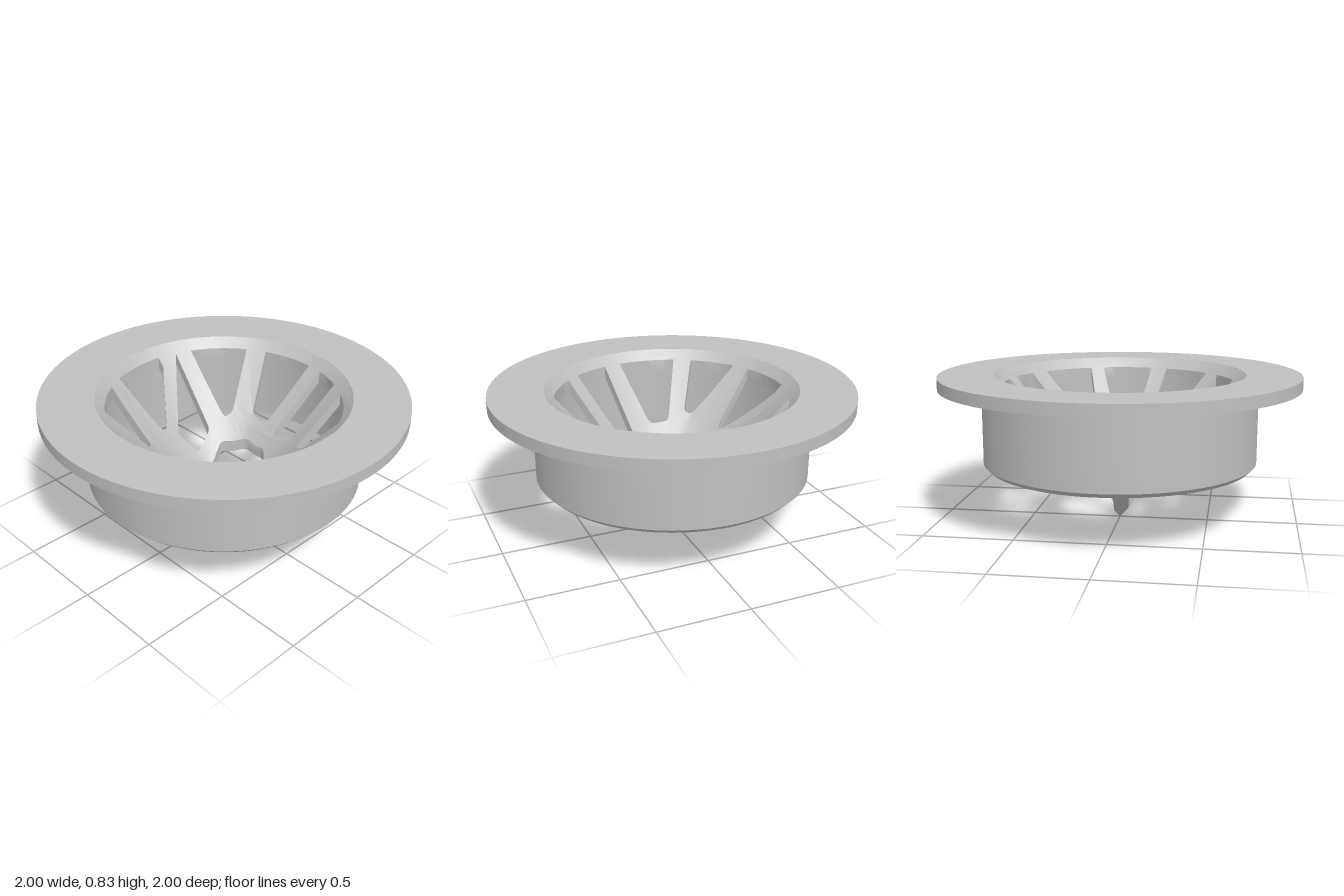
import * as THREE from 'three';
import { toCreasedNormals } from 'three/addons/utils/BufferGeometryUtils.js';

const RIM = 0.695, HOLE_R = 0.645, SLOPE = 1.1, THICK = 0.07;

// Basket openings in plan, as [x, z] corners
const OPENINGS = [
  // around the tip
  [[-.09, -.27], [.05, -.27], [.125, -.2], [.045, -.035], [-.15, -.02], [-.2, -.17]],
  [[-.17, .07], [.01, .05], [.115, .17], [.05, .28], [-.14, .27], [-.205, .17]],
  [[.1, -.01], [.2, -.19], [.31, -.15], [.30, .03], [.185, .09]],
  // around the rim, clockwise from the back
  [[-.25, -.59], [.05, -.64], [-.02, -.37], [-.13, -.36]],
  [[.14, -.62], [.3, -.57], [.21, -.3], [.06, -.34]],
  [[.39, -.5], [.58, -.26], [.4, -.2], [.31, -.25]],
  [[.61, -.19], [.61, .105], [.38, .04], [.4, -.09]],
  [[.595, .2], [.45, .455], [.255, .16], [.33, .11]],
  [[.38, .52], [.175, .61], [.11, .315], [.18, .24]],
  [[.075, .63], [-.255, .585], [-.125, .355], [-.01, .37]],
  [[-.34, .525], [-.54, .34], [-.26, .315], [-.225, .35]],
  [[-.58, .245], [-.64, -.08], [-.6, -.08], [-.35, .12], [-.37, .155]],
  [[-.6, -.19], [-.275, -.15], [-.235, -.02], [-.33, .05]],
  [[-.55, -.27], [-.345, -.52], [-.235, -.3], [-.255, -.25]],
];

// Opening outline: rounded inner corners, true arc along the rim
function openingPath(corners) {
  const pts = corners.map(([x, z]) => new THREE.Vector2(x, -z));
  const atRim = pts.map((p) => p.length() > 0.57 && p.length() !== 0);
  pts.forEach((p, i) => { if (atRim[i] && Math.abs(p.length() - 0.605) > 0.002) p.setLength(HOLE_R); });
  const out = [];
  pts.forEach((p, i) => {
    const n = pts.length, j = (i + 1) % n, prev = pts[(i + n - 1) % n], next = pts[j];
    if (atRim[i]) {
      out.push(p.clone());
      if (atRim[j] && p.distanceTo(next) > 0.1) {
        const a = p.angle();
        let d = next.angle() - a;
        d = Math.atan2(Math.sin(d), Math.cos(d));
        for (let k = 1; k < 8; k++) {
          const t = a + d * k / 8;
          out.push(new THREE.Vector2(Math.cos(t), Math.sin(t)).multiplyScalar(HOLE_R));
        }
      }
      return;
    }
    const near = (q) => p.clone().lerp(q, Math.min(0.35, 0.025 / p.distanceTo(q)));
    out.push(...new THREE.QuadraticBezierCurve(near(prev), p, near(next)).getPoints(4));
  });
  return new THREE.Path(out);
}

// Bisect triangles until fine enough to bend, finest near the tip
function refine(geometry) {
  const pos = geometry.toNonIndexed().attributes.position;
  const out = [];
  const ratio = (a, b) => {
    const r = Math.hypot(a.x + b.x, a.y + b.y) / 2;
    return a.distanceTo(b) / Math.min(0.09, 0.012 + 0.2 * r);
  };
  const split = (a, b, c) => {
    const ab = ratio(a, b), bc = ratio(b, c), ca = ratio(c, a);
    const worst = Math.max(ab, bc, ca);
    if (worst <= 1) { out.push(a, b, c); return; }
    if (worst === bc) [a, b, c] = [b, c, a];
    else if (worst === ca) [a, b, c] = [c, a, b];
    const m = a.clone().add(b).multiplyScalar(0.5);
    split(a, m, c);
    split(m, b, c);
  };
  const v = (i) => new THREE.Vector3().fromBufferAttribute(pos, i);
  for (let i = 0; i < pos.count; i += 3) split(v(i), v(i + 1), v(i + 2));
  return new THREE.BufferGeometry().setFromPoints(out);
}

// Pierced disc pulled down into a cone
function basketGeometry() {
  const disc = new THREE.Shape();
  disc.absarc(0, 0, RIM, 0, Math.PI * 2);
  disc.holes = OPENINGS.map(openingPath);
  const flat = new THREE.ExtrudeGeometry(disc, { depth: THICK, bevelEnabled: false, curveSegments: 48 });
  const g = refine(flat);
  g.rotateX(-Math.PI / 2);
  const p = g.attributes.position;
  for (let i = 0; i < p.count; i++) {
    p.setY(i, p.getY(i) + SLOPE * Math.hypot(p.getX(i), p.getZ(i)));
  }
  return toCreasedNormals(g, 0.6);
}

export function createModel() {
  const model = new THREE.Group();
  model.name = 'drainStrainer';
  const grey = new THREE.MeshStandardMaterial({ color: 0xc0c0c0 });
  grey.name = 'grey';

  // Flange and collar in one turned profile
  const profile = [
    [RIM, 0.835], [RIM, 0.325], [0.74, 0.325], [0.765, 0.35],
    [0.765, 0.77], [1, 0.77], [1, 0.835], [RIM, 0.835],
  ].map(([r, y]) => new THREE.Vector2(r, y));
  const collar = new THREE.Mesh(toCreasedNormals(new THREE.LatheGeometry(profile, 96), 0.5), grey);
  collar.name = 'flangedCollar';

  const basket = new THREE.Mesh(basketGeometry(), grey);
  basket.name = 'conicalBasket';

  model.add(collar, basket);
  return model;
}
